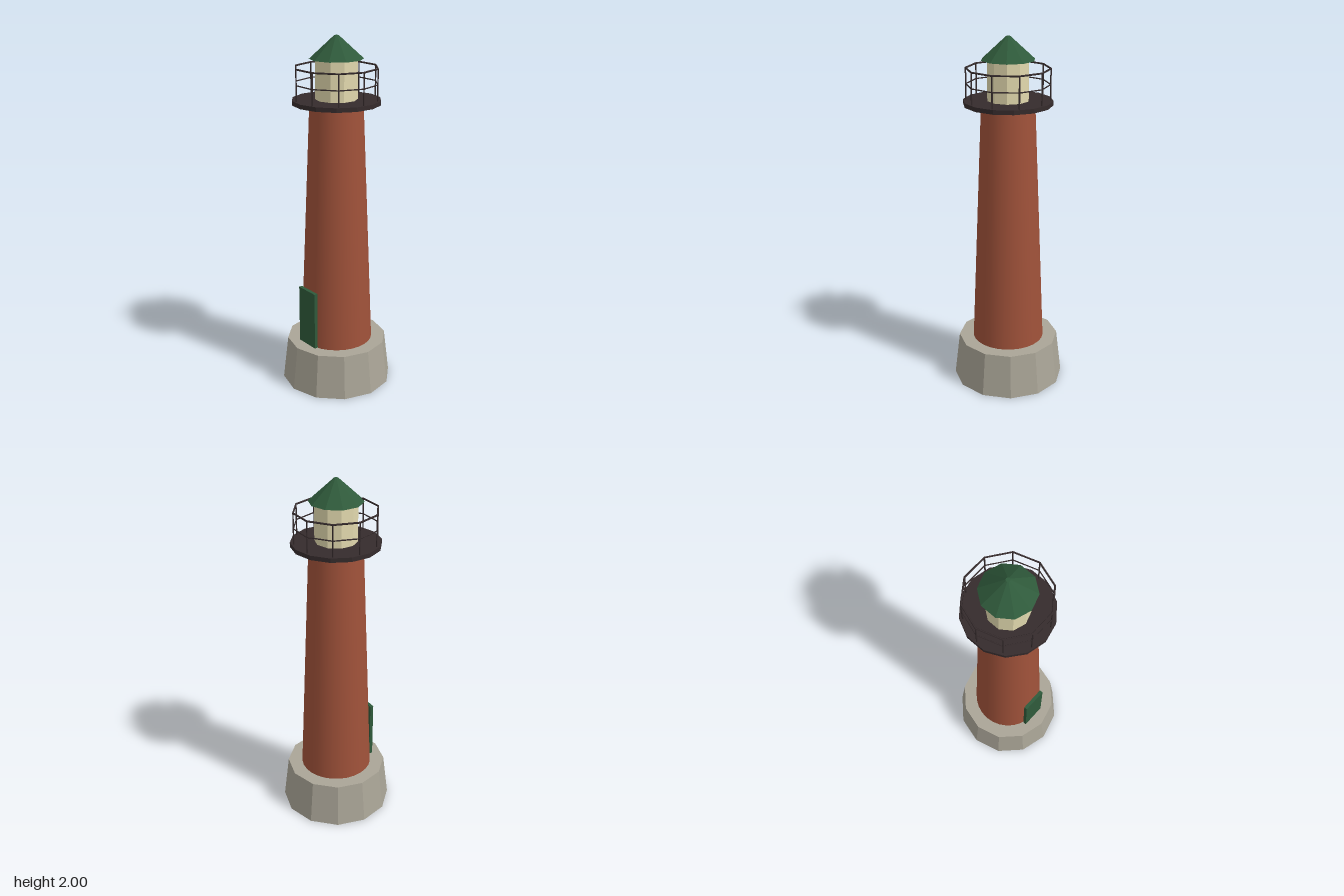
import * as THREE from 'three';

export function createModel() {
  const group = new THREE.Group();
  group.name = 'lighthouse';

  const material = (name, color, flatShading = true) => {
    const m = new THREE.MeshStandardMaterial({ color, flatShading });
    m.name = name;
    return m;
  };
  const stone = material('stone', 0xaaa597);
  const brick = material('brick', 0xa0523a, false);
  const iron = material('dark iron', 0x352b2c);
  const glass = material('lantern glass', 0xe2d9ae);
  const green = material('green paint', 0x2f5a3b);

  const add = (name, geometry, mat, x = 0, y = 0, z = 0) => {
    const mesh = new THREE.Mesh(geometry, mat);
    mesh.name = name;
    mesh.position.set(x, y, z);
    group.add(mesh);
    return mesh;
  };
  // Upright tapered drum between two heights
  const drum = (name, rTop, rBottom, y0, y1, sides, mat) =>
    add(name, new THREE.CylinderGeometry(rTop, rBottom, y1 - y0, sides), mat, 0, (y0 + y1) / 2, 0);

  drum('base', 0.287, 0.317, 0, 0.253, 12, stone);
  drum('tower', 0.147, 0.205, 0.253, 1.637, 28, brick);
  drum('galleryDeck', 0.244, 0.244, 1.637, 1.661, 14, iron);
  drum('lantern', 0.115, 0.115, 1.661, 1.877, 10, glass);
  drum('roof', 0.012, 0.147, 1.877, 2, 10, green);

  // Door on the front of the tower
  add('door', new THREE.BoxGeometry(0.144, 0.336, 0.02), green, 0, 0.425, 0.205);

  // Gallery railing: ten posts and two rings
  const railRadius = 0.227;
  for (let i = 0; i < 10; i++) {
    const a = (i / 10) * Math.PI * 2;
    add('railPost', new THREE.CylinderGeometry(0.004, 0.004, 0.174, 6), iron,
      Math.cos(a) * railRadius, 1.746, Math.sin(a) * railRadius);
  }
  for (const [name, y, r] of [['topRail', 1.832, 0.005], ['middleRail', 1.747, 0.0035]]) {
    add(name, new THREE.TorusGeometry(railRadius, r, 6, 10), iron, 0, y, 0).rotation.x = Math.PI / 2;
  }

  return group;
}
